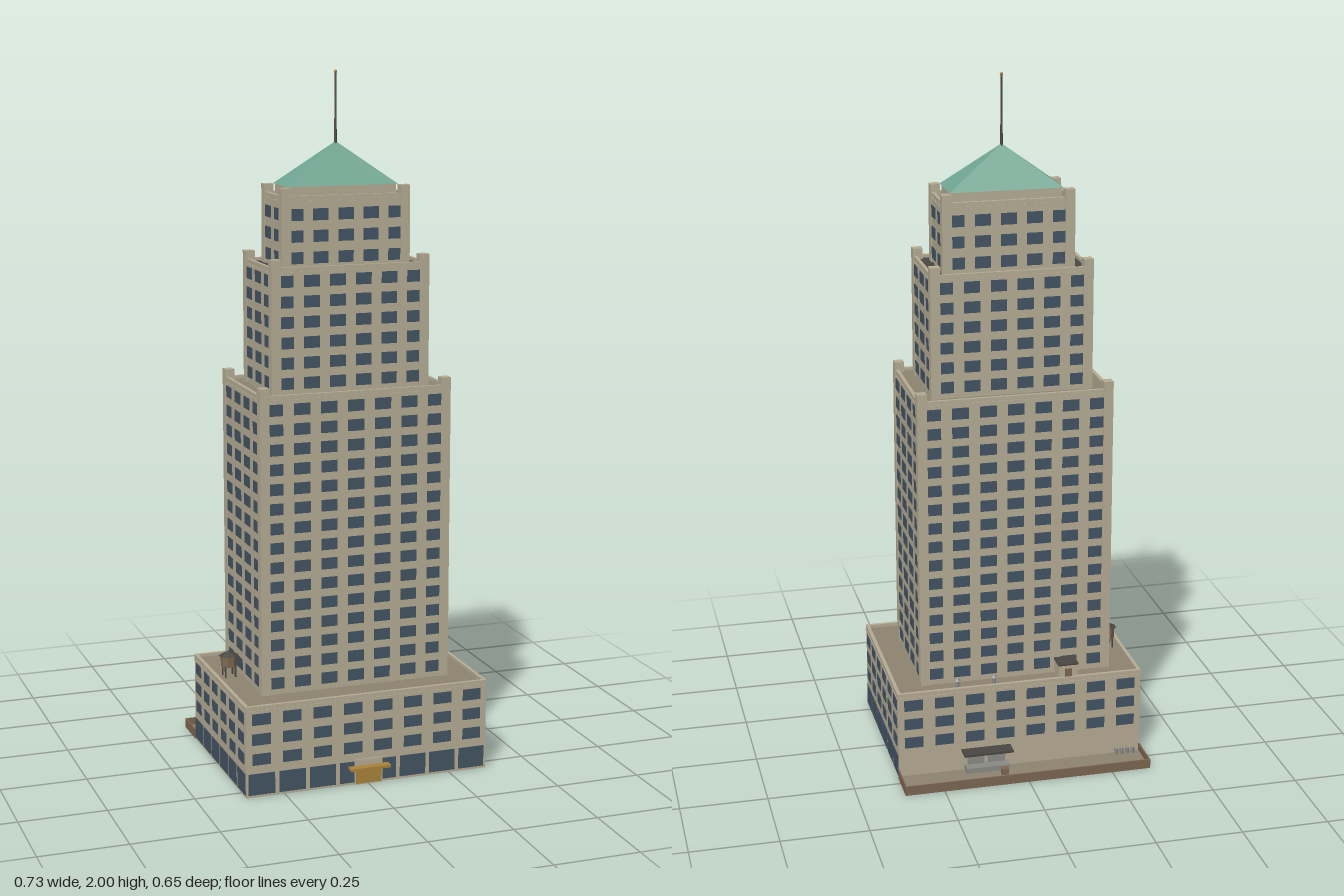
import * as THREE from 'three';
import { mergeGeometries } from 'three/addons/utils/BufferGeometryUtils.js';

const mat = (name, color) => {
  const m = new THREE.MeshStandardMaterial({ color, flatShading: true });
  m.name = name;
  return m;
};

export function createModel() {
  const model = new THREE.Group();
  model.name = 'tower';
  const stone = mat('limestone', 0xb5ac94);
  const roofing = mat('roof gravel', 0x8c8470);
  const tar = mat('dark tar', 0x4a4642);
  const glass = mat('window glass', 0x435464);
  const copper = mat('green copper', 0x6fa592);
  const bronze = mat('bronze', 0xaa833a);
  const brown = mat('brown brick', 0x7d6650);
  const metal = mat('grey metal', 0x8a8a85);

  const boxGeo = (w, h, d, x, y, z) => new THREE.BoxGeometry(w, h, d).translate(x, y, z);
  const add = (name, geos, material, parent = model) => {
    const mesh = new THREE.Mesh(Array.isArray(geos) ? mergeGeometries(geos) : geos, material);
    mesh.name = name;
    parent.add(mesh);
    return mesh;
  };
  // Box from its minimum and maximum corners
  const span = (x0, x1, y0, y1, z0, z1) =>
    boxGeo(x1 - x0, y1 - y0, z1 - z0, (x0 + x1) / 2, (y0 + y1) / 2, (z0 + z1) / 2);

  // Parapet ring flush with the walls
  const ring = (hx, hz, cz, y0, y1, t) => [
    span(-hx, hx, y0, y1, cz + hz - t, cz + hz),
    span(-hx, hx, y0, y1, cz - hz, cz - hz + t),
    span(-hx, -hx + t, y0, y1, cz - hz + t, cz + hz - t),
    span(hx - t, hx, y0, y1, cz - hz + t, cz + hz - t),
  ];

  // Calls place(u, side, axis) for every bay on all four walls
  const eachBay = (hx, hz, cols, rows, fn) => {
    for (const side of [-1, 1]) {
      for (const axis of ['x', 'z']) {
        const half = axis === 'x' ? hx : hz;
        const n = axis === 'x' ? cols : rows;
        const pitch = (2 * half) / n;
        for (let i = 0; i < n; i++) fn(-half + pitch * (i + 0.5), pitch, side, axis);
      }
    }
  };
  // Thin plate lying on one wall
  const plate = (axis, side, u, y, w, h, hx, hz, cz, t = 0.004) => axis === 'x'
    ? boxGeo(w, h, t, u, y, cz + side * hz)
    : boxGeo(t, h, w, side * hx, y, cz + u);

  // One setback: walls, windows, parapet, dentils and corner piers
  function tier({ name, hx, hz, cz, y0, y1, first, floors, pitch, cols, sideCols, pier, roof }) {
    const g = new THREE.Group();
    g.name = name;
    model.add(g);
    add('walls', span(-hx, hx, y0, y1 - 0.004, cz - hz, cz + hz), stone, g);
    add('roofDeck', span(-hx + 0.006, hx - 0.006, y1 - 0.004, y1 - 0.001, cz - hz + 0.006, cz + hz - 0.006), roof, g);
    add('parapet', ring(hx + 0.001, hz + 0.001, cz, y1 - 0.004, y1 + 0.008, 0.01), stone, g);
    const panes = [], dentils = [];
    eachBay(hx, hz, cols, sideCols, (u, p, side, axis) => {
      for (let f = 0; f < floors; f++)
        panes.push(plate(axis, side, u, first + f * pitch, p * 0.6, 0.033, hx, hz, cz));
    });
    eachBay(hx, hz, cols * 5, sideCols * 5, (u, p, side, axis) =>
      dentils.push(plate(axis, side, u, y1 - 0.007, p * 0.5, 0.005, hx, hz, cz, 0.006)));
    add('windows', panes, glass, g);
    add('dentils', dentils, stone, g);
    if (pier) {
      const piers = [];
      for (const sx of [-1, 1]) for (const sz of [-1, 1])
        piers.push(boxGeo(0.028, y1 + 0.03 - y0, 0.028,
          sx * (hx - 0.010), (y0 + y1 + 0.03) / 2, cz + sz * (hz - 0.010)));
      add('cornerPiers', piers, stone, g);
    }
    return g;
  }

  const BZ = 0.0385, TZ = 0.018; // centres of the podium and of the tower
  const podium = tier({ name: 'podium', hx: 0.363, hz: 0.257, cz: BZ, y0: 0, y1: 0.259,
    first: 0.111, floors: 3, pitch: 0.0585, cols: 8, sideCols: 6, roof: roofing });
  tier({ name: 'mainShaft', hx: 0.280, hz: 0.174, cz: TZ, y0: 0.255, y1: 1.112,
    first: 0.291, floors: 15, pitch: 0.0563, cols: 7, sideCols: 4, pier: true, roof: roofing });
  tier({ name: 'upperShaft', hx: 0.230, hz: 0.128, cz: TZ, y0: 1.108, y1: 1.460,
    first: 1.143, floors: 6, pitch: 0.0572, cols: 6, sideCols: 3, pier: true, roof: tar });
  tier({ name: 'crown', hx: 0.186, hz: 0.088, cz: TZ, y0: 1.456, y1: 1.652,
    first: 1.488, floors: 3, pitch: 0.060, cols: 5, sideCols: 2, pier: true, roof: roofing });

  // Shop windows along the street sides of the podium
  const shops = [];
  eachBay(0.363, 0.257, 8, 6, (u, p, side, axis) => {
    if (axis === 'x' && side < 0) return;
    shops.push(plate(axis, side, u, 0.038, p * 0.86, 0.062, 0.363, 0.257, BZ));
  });
  add('shopWindows', shops, glass, podium);

  // Entrance
  add('entranceSurround', span(-0.042, 0.042, 0, 0.074, 0.290, 0.300), stone);
  add('entranceDoors', span(-0.038, 0.038, 0.003, 0.048, 0.298, 0.302), bronze);
  add('entranceCanopy', span(-0.06, 0.06, 0.048, 0.056, 0.297, 0.323), bronze);

  // Hipped copper roof and mast
  add('roofDrum', span(-0.158, 0.158, 1.648, 1.683, TZ - 0.064, TZ + 0.064), stone);
  const hip = new THREE.ConeGeometry(Math.SQRT2, 0.119, 4, 1).rotateY(Math.PI / 4)
    .scale(0.163, 1, 0.068).translate(0, 1.7425, TZ);
  add('copperRoof', hip, copper);
  add('mast', new THREE.CylinderGeometry(0.0025, 0.004, 0.205, 6).translate(0, 1.8925, TZ), tar);
  add('mastTip', new THREE.SphereGeometry(0.005, 6, 4).translate(0, 1.995, TZ), bronze);

  // Rear yard with a low wall
  add('yardFloor', span(-0.363, 0.363, 0, 0.006, -0.324, -0.218), roofing);
  add('yardWall', [
    span(-0.365, 0.365, 0, 0.028, -0.327, -0.323),
    span(-0.365, -0.361, 0, 0.028, -0.323, -0.219),
    span(0.361, 0.365, 0, 0.028, -0.323, -0.219),
  ], brown);
  add('loadingDock', span(0.04, 0.168, 0.006, 0.022, -0.25, -0.218), metal);
  add('dockDoors', [span(0.048, 0.098, 0.022, 0.06, -0.222, -0.218),
    span(0.110, 0.160, 0.022, 0.06, -0.222, -0.218)], metal);
  add('dockCanopy', span(0.031, 0.177, 0.066, 0.072, -0.263, -0.218), tar);
  add('crate', span(0.05, 0.07, 0.006, 0.024, -0.281, -0.262), brown);
  const bins = [0, 1, 2, 3].map(i =>
    new THREE.CylinderGeometry(0.0065, 0.0055, 0.018, 6).translate(-0.34 + i * 0.0167, 0.015, -0.23));
  add('bins', bins, metal);

  // Podium roof equipment
  add('stairHouse', span(-0.173, -0.117, 0.255, 0.302, -0.213, -0.162), stone);
  add('stairHouseRoof', span(-0.175, -0.115, 0.302, 0.307, -0.215, -0.160), tar);
  add('stairDoor', span(-0.155, -0.135, 0.259, 0.292, -0.2145, -0.212), brown);
  for (const x of [0.072, 0.181]) {
    add('vent', new THREE.CylinderGeometry(0.006, 0.006, 0.02, 6).translate(x, 0.268, -0.188), metal);
    add('ventCap', new THREE.ConeGeometry(0.011, 0.009, 6).translate(x, 0.282, -0.188), metal);
  }

  // Water tank on legs
  const tank = new THREE.Group();
  tank.name = 'waterTank';
  tank.position.set(-0.318, 0.257, -0.012);
  model.add(tank);
  const legs = [];
  for (const sx of [-1, 1]) for (const sz of [-1, 1])
    legs.push(boxGeo(0.004, 0.034, 0.004, sx * 0.015, 0.017, sz * 0.015));
  add('tankLegs', legs, tar, tank);
  add('tankBarrel', new THREE.CylinderGeometry(0.024, 0.024, 0.032, 8).rotateY(Math.PI / 8).translate(0, 0.048, 0), brown, tank);
  add('tankRoof', new THREE.ConeGeometry(0.030, 0.016, 8).rotateY(Math.PI / 8).translate(0, 0.071, 0), tar, tank);

  return model;
}
